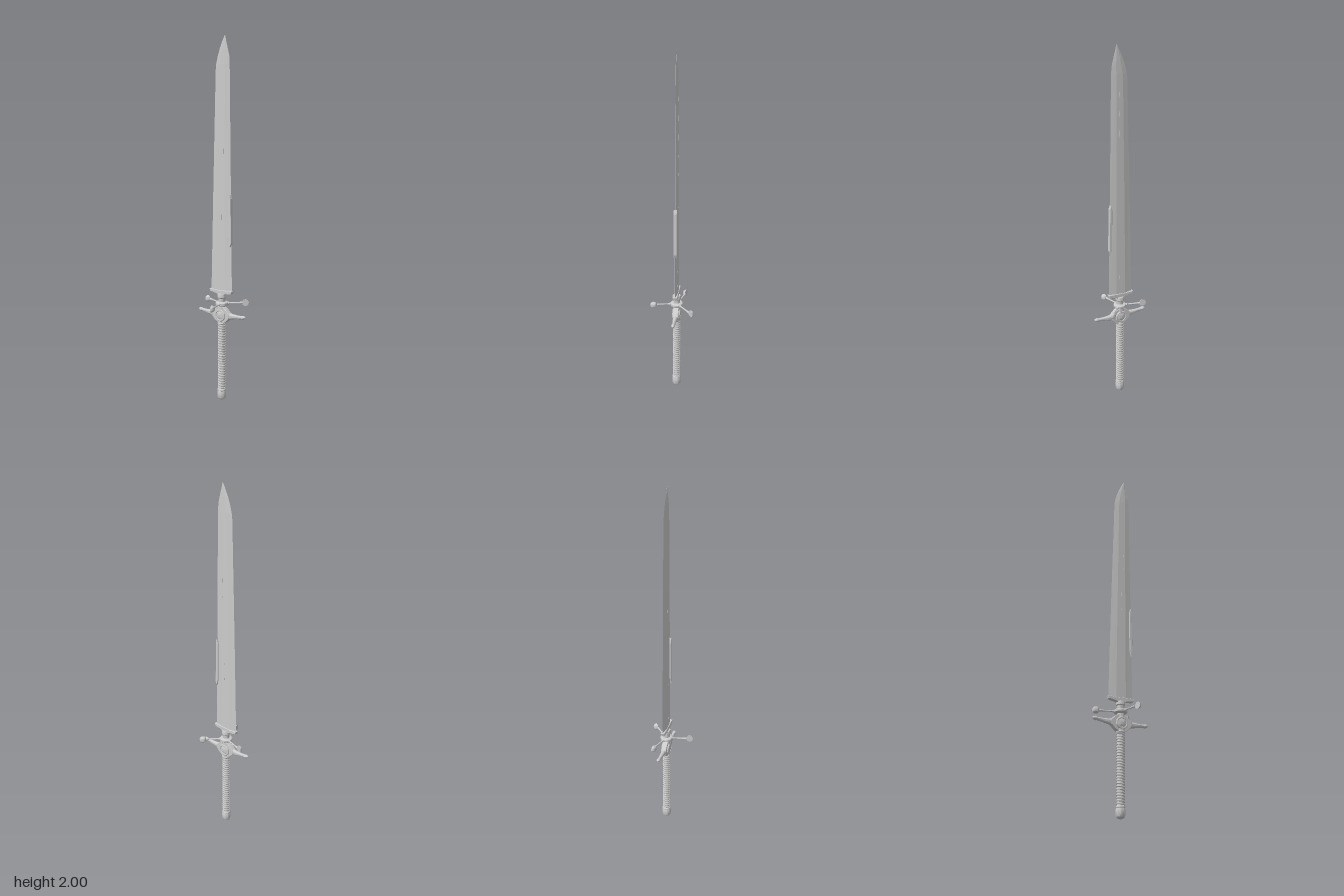
import * as THREE from 'three';
import { mergeVertices, toCreasedNormals } from 'three/addons/utils/BufferGeometryUtils.js';

const grey = new THREE.MeshStandardMaterial({ color: 0xcccccc, side: THREE.DoubleSide });
const flat = new THREE.MeshStandardMaterial({ color: 0xcccccc, flatShading: true, side: THREE.DoubleSide });

function add(parent, name, geometry, material = grey) {
  const mesh = new THREE.Mesh(geometry, material);
  mesh.name = name;
  parent.add(mesh);
  return mesh;
}

// Turned part from [radius, height] pairs, with crisp steps
function turned(points, sides = 28) {
  const g = new THREE.LatheGeometry(points.map(([r, y]) => new THREE.Vector2(r, y)), sides);
  return toCreasedNormals(g, 0.6);
}

// Blade rows: height, back edge z, front edge z, half thickness
const rows = [
  [0.615, -0.073, 0.07, 0.008], [1.2, -0.059, 0.061, 0.0075], [1.82, -0.042, 0.052, 0.006],
  [1.85, -0.039, 0.051, 0.006], [1.89, -0.029, 0.049, 0.005], [1.93, -0.015, 0.039, 0.004],
  [1.97, 0.003, 0.028, 0.0025], [2.0, 0.019, 0.021, 0.0005],
];

function bladeGeometry() {
  const pos = [], index = [];
  for (const [y, a, b, h] of rows) {
    const lo = a + (b - a) * 0.3, hi = a + (b - a) * 0.7;
    for (const [x, z] of [[h, lo], [h, hi], [0, b], [-h, hi], [-h, lo], [0, a]]) pos.push(x, y, z);
  }
  for (let i = 0; i < rows.length - 1; i++) {
    for (let j = 0; j < 6; j++) {
      const p = i * 6 + j, q = i * 6 + (j + 1) % 6;
      index.push(p, p + 6, q, q, p + 6, q + 6);
    }
  }
  const top = (rows.length - 1) * 6;
  for (let j = 1; j < 5; j++) index.push(0, j, j + 1, top, top + j + 1, top + j);
  const g = new THREE.BufferGeometry();
  g.setAttribute('position', new THREE.Float32BufferAttribute(pos, 3));
  g.setIndex(index);
  return g;
}

// Outline in (z, y) extruded across x
function plate(points, depth) {
  const shape = new THREE.Shape(points.map(([z, y]) => new THREE.Vector2(-z, y)));
  const g = new THREE.ExtrudeGeometry(shape, {
    depth, bevelEnabled: true, bevelSize: 0.002, bevelThickness: 0.002, bevelSegments: 1,
  });
  return g.translate(0, 0, -depth / 2).rotateY(Math.PI / 2);
}

// Guard arm along +z: tapering, taller than wide, tip swept slightly up
function armGeometry() {
  const profile = [[0.014, 0.03], [0.013, 0.06], [0.011, 0.085], [0.009, 0.11], [0.0085, 0.138],
    [0.0105, 0.141], [0.0105, 0.148], [0.007, 0.157], [0, 0.163]];
  const g = turned(profile, 20).rotateX(Math.PI / 2);
  const p = g.attributes.position;
  for (let i = 0; i < p.count; i++) {
    const z = p.getZ(i);
    p.setY(i, p.getY(i) * (1.45 - z * 2.8) + 0.01 * (z / 0.16) ** 2);
  }
  return toCreasedNormals(g, 0.6);
}

export function createModel() {
  const root = new THREE.Group();
  root.name = 'sword';
  const sword = new THREE.Group();
  sword.name = 'swordParts';
  sword.position.x = 0.021;
  root.add(sword);

  // Blade, with a thicker band along its front edge
  add(sword, 'blade', bladeGeometry(), flat);
  add(sword, 'edgeBand', plate([[0.061, 0.88], [0.067, 0.9], [0.063, 1.14], [0.058, 1.16],
    [0.052, 1.13], [0.055, 0.91]], 0.015), flat);

  // Short raised marks scattered along both faces
  const marks = new THREE.Group();
  marks.name = 'bladeMarks';
  sword.add(marks);
  for (let i = 0; i < 22; i++) {
    const y = 0.68 + i * 0.051;
    const h = 0.0078 - (y - 0.62) * 0.0014;
    const z = i % 2 ? 0.004 : 0.017;
    for (const side of [-1, 1]) {
      const mark = add(marks, 'bladeMark', new THREE.BoxGeometry(0.0012, 0.012 + (i * 7 % 5) * 0.005, 0.0025), flat);
      mark.position.set(side * h, y, z);
    }
  }

  // Collar under the blade
  add(sword, 'bladeCollar', plate([[0.073, 0.632], [0.069, 0.618], [0.03, 0.613], [0.018, 0.602],
    [-0.018, 0.602], [-0.03, 0.61], [-0.072, 0.616], [-0.076, 0.628], [-0.03, 0.627], [0.03, 0.63]], 0.02), flat);

  // Neck with the ring that carries the three stalks
  add(sword, 'neck', turned([[0, 0.612], [0.022, 0.61], [0.024, 0.603], [0.024, 0.59], [0.02, 0.585],
    [0.019, 0.566], [0.031, 0.564], [0.035, 0.56], [0.035, 0.549], [0.031, 0.545], [0.019, 0.542],
    [0.021, 0.52], [0.021, 0.44], [0, 0.44]].reverse()));

  // Stalks, each ending in a half ball facing sideways
  for (let i = 0; i < 3; i++) {
    const stalk = new THREE.Group();
    stalk.name = 'stalk';
    stalk.position.y = 0.555;
    stalk.rotation.y = -THREE.MathUtils.degToRad(47 + i * 120);
    sword.add(stalk);
    const rod = turned([[0.007, 0.03], [0.007, 0.04], [0.0042, 0.043], [0.0042, 0.1], [0.006, 0.103], [0.006, 0.115]], 14);
    add(stalk, 'stalkRod', rod.rotateZ(-Math.PI / 2));
    const dome = turned([[0, 0], ...Array.from({ length: 9 }, (_, k) => {
      const a = k / 8 * Math.PI / 2;
      return [0.019 * Math.cos(a), 0.019 * Math.sin(a)];
    })], 24);
    add(stalk, 'halfBall', dome.rotateX(-Math.PI / 2)).position.x = 0.131;
  }

  // Crossguard: two mirrored arms and a round boss on each face
  const guard = new THREE.Group();
  guard.name = 'crossguard';
  guard.position.y = 0.489;
  sword.add(guard);
  for (const turn of [0, Math.PI]) {
    add(guard, 'guardArm', armGeometry()).rotation.y = turn;
    const boss = turned([[0.034, 0], [0.034, 0.019], [0.031, 0.022], [0.026, 0.022], [0.024, 0.019],
      [0.016, 0.022], [0, 0.025]]);
    add(guard, 'guardBoss', boss.rotateZ(-Math.PI / 2)).rotation.y = turn;
  }
  add(guard, 'guardBody', plate([[0.058, 0.012], [0.035, 0.034], [0.018, 0.046], [-0.018, 0.046], [-0.035, 0.034],
    [-0.058, 0.012], [-0.055, -0.012], [-0.035, -0.032], [-0.016, -0.044], [0.016, -0.044], [0.035, -0.032],
    [0.055, -0.012]], 0.024), flat);

  // Grip with a spiral cord wrap
  add(sword, 'grip', new THREE.CylinderGeometry(0.019, 0.018, 0.4, 24).translate(0, 0.25, 0));
  const turns = 26, cord = [];
  for (let i = 0; i <= turns * 12; i++) {
    const a = i / 12 * Math.PI * 2;
    cord.push(new THREE.Vector3(0.0185 * Math.cos(a), 0.064 + 0.375 * i / (turns * 12), 0.0185 * Math.sin(a)));
  }
  add(sword, 'gripWrap', mergeVertices(new THREE.TubeGeometry(new THREE.CatmullRomCurve3(cord), turns * 16, 0.0045, 6)));
  add(sword, 'gripRing', new THREE.TorusGeometry(0.019, 0.005, 10, 28).rotateX(Math.PI / 2)).position.y = 0.442;

  // Pommel
  add(sword, 'pommel', turned([[0, 0], [0.012, 0.001], [0.019, 0.005], [0.023, 0.012], [0.0245, 0.02],
    [0.0245, 0.044], [0.022, 0.052], [0.024, 0.054], [0.024, 0.06], [0.02, 0.065], [0, 0.065]]));

  return root;
}
